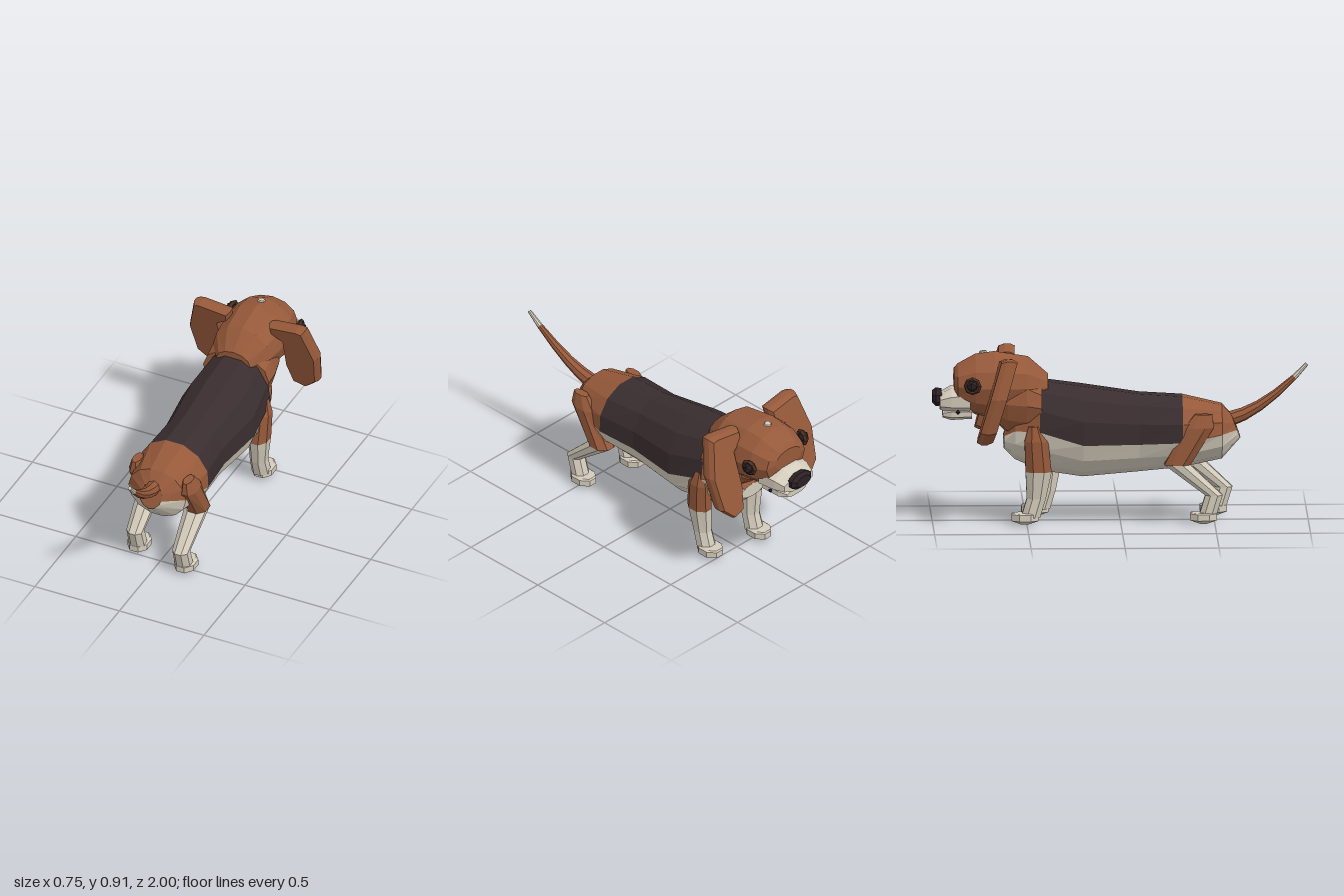
import * as THREE from 'three';

const mat = (name, color, side = THREE.FrontSide) => {
  const m = new THREE.MeshStandardMaterial({ color, flatShading: true, side });
  m.name = name;
  return m;
};

export function createModel() {
  const brown = mat('brown fur', 0x96593a, THREE.DoubleSide);
  const white = mat('cream fur', 0xd3cbbb, THREE.DoubleSide);
  const black = mat('black fur', 0x392d2f, THREE.DoubleSide);
  const noseMat = mat('nose black', 0x2b2125);
  const eyeMat = mat('eye brown', 0x4b3026);

  const dog = new THREE.Group();
  dog.name = 'dog';
  const add = (name, geometry, material, parent = dog) => {
    const mesh = new THREE.Mesh(geometry, material);
    mesh.name = name;
    parent.add(mesh);
    return mesh;
  };

  // Skin over a row of rings; closed rings may get end caps
  const loft = (rings, { closed = true, caps = true } = {}) => {
    const pos = [];
    const tri = (...pts) => pts.forEach((p) => pos.push(p.x, p.y, p.z));
    const n = rings[0].length;
    const steps = closed ? n : n - 1;
    for (let i = 0; i < rings.length - 1; i++) {
      for (let j = 0; j < steps; j++) {
        const k = (j + 1) % n;
        const a = rings[i][j], b = rings[i][k], c = rings[i + 1][k], d = rings[i + 1][j];
        tri(a, b, d);
        tri(b, c, d);
      }
    }
    if (closed && caps) {
      [rings[0], rings[rings.length - 1]].forEach((ring, end) => {
        const mid = ring.reduce((s, p) => s.add(p), new THREE.Vector3()).divideScalar(n);
        ring.forEach((p, j) => {
          const q = ring[(j + 1) % n];
          if (end) tri(mid, p, q);
          else tri(mid, q, p);
        });
      });
    }
    const g = new THREE.BufferGeometry();
    g.setAttribute('position', new THREE.Float32BufferAttribute(pos, 3));
    g.computeVertexNormals();
    return g;
  };

  // Arc of an upright ellipse given by its top, bottom and half width
  const arc = (z, top, bottom, hw, from, to, count, tilt = 0) => {
    const cy = (top + bottom) / 2, ry = (top - bottom) / 2;
    return Array.from({ length: count }, (_, i) => {
      const a = from + ((to - from) * i) / (count - 1);
      const dy = ry * Math.sin(a);
      return new THREE.Vector3(hw * Math.cos(a), cy + dy, z - tilt * dy);
    });
  };
  const uprightLoft = (sections, sides, turn = 0) => loft(sections.map(([z, t, b, w]) =>
    arc(z, t, b, w, turn, turn + Math.PI * 2, sides + 1).slice(0, sides)));

  // Torso: z, top, bottom, half width, colour border height, tilt
  const torso = [
    [-0.62, 0.47, 0.39, 0.09, 0.46, 0],
    [-0.56, 0.6, 0.33, 0.15, 0.5, 0],
    [-0.43, 0.765, 0.27, 0.2, 0.5, 0],
    [-0.2, 0.735, 0.236, 0.22, 0.43, 0],
    [0.1, 0.69, 0.262, 0.185, 0.43, 0],
    [0.33, 0.675, 0.285, 0.205, 0.44, 0],
    [0.54, 0.625, 0.33, 0.17, 0.48, 0],
    [0.615, 0.57, 0.44, 0.063, 0.49, 0.38],
  ];
  const half = (rows, upper) => loft(rows.map(([z, t, b, w, split, tilt]) => {
    const s = Math.asin((split - (t + b) / 2) / ((t - b) / 2));
    return upper
      ? arc(z, t, b, w, s, Math.PI - s, 8, tilt)
      : arc(z, t, b, w, Math.PI - s, Math.PI * 2 + s, 8, tilt);
  }), { closed: false });
  add('shoulders', half(torso.slice(0, 3), true), brown);
  add('saddle', half(torso.slice(2, 6), true), black);
  add('rump', half(torso.slice(5), true), brown);
  add('belly', half(torso, false), white);
  const disc = (z, top, bottom, hw, tilt) => {
    const ring = arc(z, top, bottom, hw, 0, Math.PI * 2, 13, tilt).slice(0, 12);
    const flat = ring.map(() => new THREE.Vector3(0, (top + bottom) / 2, z));
    return loft([ring, flat], { caps: false });
  };
  add('rumpEnd', disc(0.617, 0.57, 0.44, 0.064, 0.38), brown);
  add('chestFront', disc(-0.62, 0.47, 0.39, 0.09, 0), white);

  // Neck and head
  add('neck', uprightLoft([
    [-0.66, 0.75, 0.53, 0.14], [-0.6, 0.82, 0.47, 0.17],
    [-0.5, 0.82, 0.46, 0.195], [-0.42, 0.765, 0.49, 0.195],
  ], 12), brown);
  add('head', uprightLoft([
    [-0.885, 0.82, 0.7, 0.1], [-0.865, 0.845, 0.63, 0.145], [-0.77, 0.897, 0.57, 0.18],
    [-0.67, 0.91, 0.55, 0.188], [-0.49, 0.882, 0.58, 0.17], [-0.385, 0.79, 0.66, 0.1],
  ], 12), brown);

  // Muzzle, jaw and nose
  add('muzzle', uprightLoft([
    [-0.96, 0.69, 0.6, 0.115], [-0.9, 0.725, 0.58, 0.135], [-0.8, 0.74, 0.575, 0.15],
  ], 8, Math.PI / 8), white);
  add('lowerJaw', uprightLoft([
    [-0.945, 0.6, 0.557, 0.075], [-0.9, 0.62, 0.543, 0.1], [-0.79, 0.62, 0.55, 0.11],
  ], 8, Math.PI / 8), white);
  add('nose', uprightLoft([
    [-1, 0.7, 0.635, 0.055], [-0.98, 0.715, 0.615, 0.08], [-0.95, 0.71, 0.62, 0.075],
  ], 8, Math.PI / 8), noseMat);
  const spot = add('foreheadSpot', new THREE.CylinderGeometry(0.018, 0.022, 0.009, 6), white);
  spot.position.set(0, 0.908, -0.73);
  spot.rotation.x = -0.13;

  // Ear: a drooping flap, swept forward towards its tip
  const earGeometry = () => {
    const outline = [[0.13, 0.875], [0.285, 0.895], [0.315, 0.89], [0.365, 0.7], [0.345, 0.52],
      [0.28, 0.46], [0.215, 0.48], [0.19, 0.6], [0.195, 0.79], [0.135, 0.83]];
    const shape = new THREE.Shape(outline.map(([x, y]) => new THREE.Vector2(x, y)));
    const g = new THREE.ExtrudeGeometry(shape, {
      depth: 0.03, bevelEnabled: true, bevelSegments: 1, bevelThickness: 0.028, bevelSize: 0.012,
    });
    const p = g.attributes.position;
    for (let i = 0; i < p.count; i++) p.setZ(i, p.getZ(i) - 0.615 - 0.3 * (0.88 - p.getY(i)));
    g.computeVertexNormals();
    return g;
  };

  // Limb from rows of x, y, z, half width, half depth, running downwards
  const limb = (rows, side, dz) => loft(rows.map(([x, y, z, rx, rz]) =>
    Array.from({ length: 8 }, (_, i) => {
      const a = ((i + 0.5) / 8) * Math.PI * 2;
      return new THREE.Vector3(side * x + rx * Math.cos(a), y, z + dz + rz * Math.sin(a));
    })));
  const foot = (z) => [
    [0.152, 0.062, z, 0.052, 0.07], [0.152, 0.056, z, 0.062, 0.078],
    [0.152, 0.022, z, 0.062, 0.078], [0.152, 0, z, 0.012, 0.02],
  ];

  for (const side of [1, -1]) {
    const label = side > 0 ? 'Left' : 'Right';
    const dz = side > 0 ? 0 : -0.06; // stride
    const ear = add('ear' + label, earGeometry(), brown);
    ear.scale.x = side;

    // Eye with a dark pupil
    const eye = new THREE.Group();
    eye.name = 'eye' + label;
    eye.position.set(side * 0.2, 0.752, -0.79);
    eye.rotation.y = side * 1.75;
    dog.add(eye);
    add('eyelid', new THREE.TorusGeometry(0.034, 0.014, 5, 8), eyeMat, eye);
    const ball = add('eyeball', new THREE.IcosahedronGeometry(0.034, 0), noseMat, eye);
    ball.position.z = 0.004;

    // Dark whisker spot
    const dot = add('whiskerSpot' + label, new THREE.OctahedronGeometry(0.013), noseMat);
    dot.position.set(side * 0.118, 0.6, -0.865);

    // Front leg
    add('frontShoulder' + label, limb([
      [0.17, 0.53, -0.4, 0.03, 0.035], [0.172, 0.45, -0.39, 0.05, 0.068],
      [0.16, 0.285, -0.378, 0.058, 0.075],
    ], side, dz), brown);
    add('frontLeg' + label, limb([
      [0.16, 0.285, -0.378, 0.058, 0.075], [0.15, 0.14, -0.39, 0.048, 0.055],
      [0.15, 0.04, -0.42, 0.052, 0.055],
    ], side, dz), white);
    add('frontFoot' + label, limb(foot(-0.45), side, dz), white);

    // Hind leg
    add('thigh' + label, limb([
      [0.165, 0.59, 0.5, 0.025, 0.05], [0.168, 0.52, 0.475, 0.046, 0.085],
      [0.155, 0.32, 0.36, 0.064, 0.075],
    ], side, dz), brown);
    add('hindLeg' + label, limb([
      [0.15, 0.32, 0.36, 0.066, 0.075], [0.15, 0.155, 0.555, 0.048, 0.05],
      [0.15, 0.04, 0.52, 0.05, 0.05],
    ], side, dz), white);
    add('hindFoot' + label, limb(foot(0.5), side, dz), white);
  }

  // Tail, tapering along a rising curve
  const curve = new THREE.CatmullRomCurve3([
    [0, 0.535, 0.57], [0.012, 0.575, 0.68], [0.025, 0.635, 0.78], [0.043, 0.73, 0.9], [0.06, 0.825, 0.995],
  ].map((p) => new THREE.Vector3(...p)));
  const tailRing = (t) => {
    const c = curve.getPoint(t), d = curve.getTangent(t);
    const u = new THREE.Vector3(1, 0, 0).addScaledVector(d, -d.x).normalize();
    const v = new THREE.Vector3().crossVectors(d, u);
    const r = 0.042 - 0.032 * t;
    return Array.from({ length: 8 }, (_, i) => {
      const a = (i / 8) * Math.PI * 2;
      return c.clone().addScaledVector(u, r * Math.cos(a)).addScaledVector(v, r * Math.sin(a));
    });
  };
  add('tail', loft([0, 0.2, 0.4, 0.6, 0.82].map(tailRing)), brown);
  add('tailTip', loft([0.82, 0.91, 1].map(tailRing)), white);

  return dog;
}
